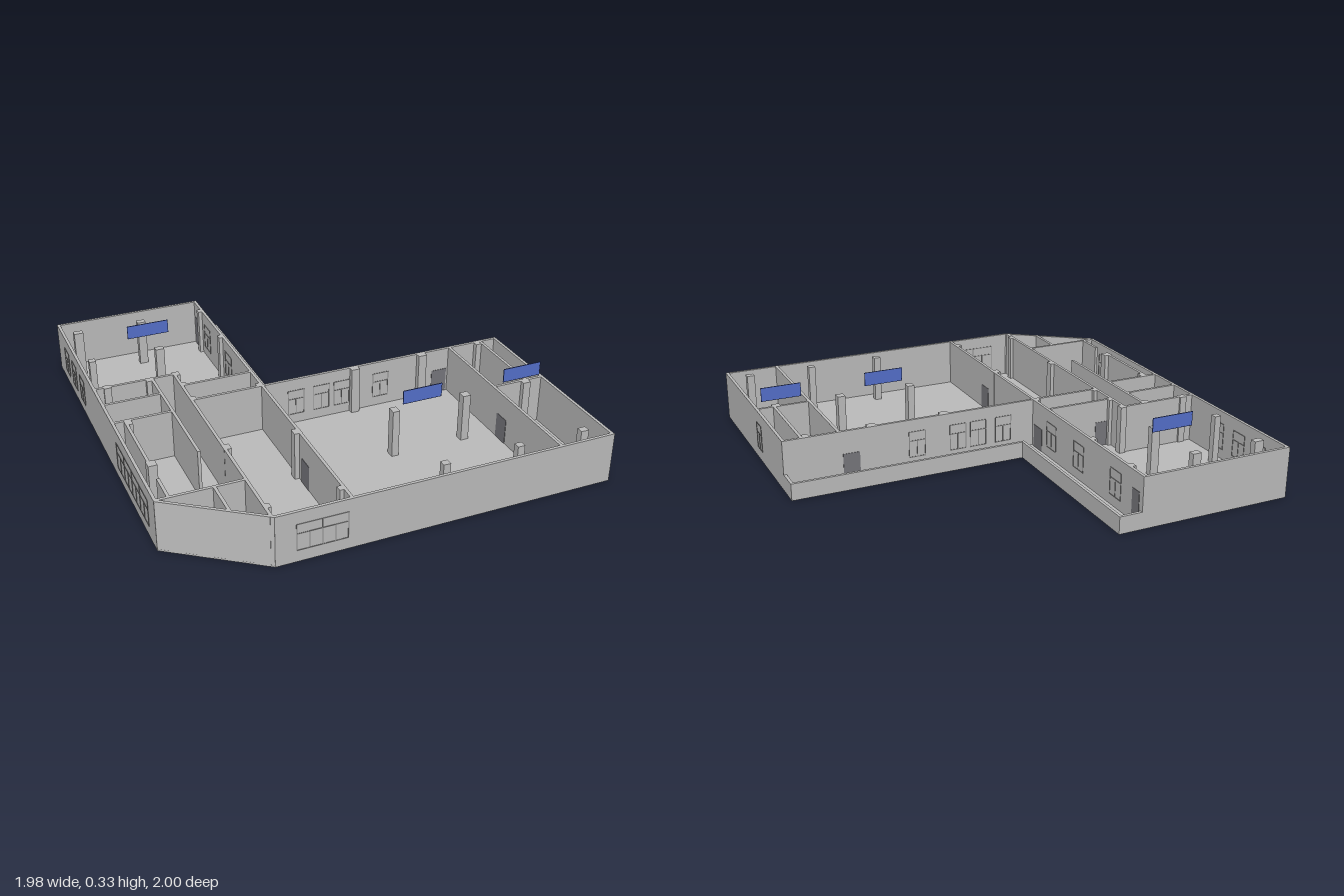
import * as THREE from 'three';

const H = 0.24, T = 0.014, FLOOR = 0.008;

export function createModel() {
  const model = new THREE.Group();
  model.name = 'openRoofBuilding';
  const mat = (name, color) => {
    const m = new THREE.MeshStandardMaterial({ color });
    m.name = name;
    return m;
  };
  const plaster = mat('plasterGrey', 0xbdbdbd);
  const frameGrey = mat('frameGrey', 0x8c8c8c);
  const doorGrey = mat('doorGrey', 0x77777c);
  const signBlue = mat('signBlue', 0x5570cc);
  const signEdge = mat('signEdgeBlue', 0x33468f);

  const box = (parent, name, w, h, d, x, y, z, m) => {
    const mesh = new THREE.Mesh(new THREE.BoxGeometry(w, h, d), m);
    mesh.name = name;
    mesh.position.set(x, y, z);
    parent.add(mesh);
    return mesh;
  };

  // Floor slab following the footprint
  const outline = [[-0.988, -1], [-0.14, -1], [-0.14, -0.115], [0.988, -0.115],
    [0.988, 1], [-0.59, 1], [-0.988, 0.712]];
  const shape = new THREE.Shape(outline.map(([x, z]) => new THREE.Vector2(x, -z)));
  const floor = new THREE.Mesh(
    new THREE.ExtrudeGeometry(shape, { depth: FLOOR, bevelEnabled: false }), plaster);
  floor.rotation.x = -Math.PI / 2;
  floor.name = 'floor';
  model.add(floor);

  // Straight wall between two plan points
  const wall = (name, x0, z0, x1, z1, h = H) => {
    const len = Math.hypot(x1 - x0, z1 - z0);
    const w = box(model, name, len, h, T, (x0 + x1) / 2, h / 2, (z0 + z1) / 2, plaster);
    w.rotation.y = -Math.atan2(z1 - z0, x1 - x0);
  };

  // Outer walls
  [[-0.981, -1, -0.981, 0.712], [-0.988, -0.993, -0.248, -0.993],
    [-0.255, -1, -0.255, 0.007], [-0.255, 0, 0.988, 0],
    [0.981, -0.007, 0.981, 1], [-0.59, 0.993, 0.988, 0.993],
    [-0.984, 0.706, -0.586, 0.994],
  ].forEach((p) => wall('outerWall', ...p));

  // Low parapet around the terrace
  [[-0.248, -0.993, -0.14, -0.993], [-0.147, -1, -0.147, -0.108],
    [-0.154, -0.108, 0.988, -0.108], [0.981, -0.115, 0.981, 0],
  ].forEach((p) => wall('parapet', ...p, 0.08));

  // Partition walls
  [[-0.597, -0.27, -0.597, 0.99], [-0.255, 0, -0.255, 0.99],
    [-0.98, -0.267, -0.59, -0.267], [-0.6, -0.148, -0.255, -0.148],
    [-0.6, 0, -0.255, 0], [-0.706, -0.26, -0.706, 0.43],
    [-0.98, -0.112, -0.7, -0.112], [-0.98, 0.06, -0.7, 0.06],
    [-0.925, 0.06, -0.925, 0.46], [-0.925, 0.56, -0.925, 0.7],
    [-0.98, 0.703, -0.597, 0.703], [-0.733, 0.7, -0.733, 0.885],
    [0.725, 0, 0.725, 0.99], [0.897, 0, 0.897, 0.43], [0.725, 0.43, 0.98, 0.43],
  ].forEach((p) => wall('partitionWall', ...p));

  // Columns: x, z, width, depth
  [[-0.91, -0.873, 0.046, 0.032], [-0.585, -0.873, 0.042, 0.032], [-0.267, -0.873, 0.026, 0.032],
    [-0.92, -0.55, 0.032, 0.032], [-0.585, -0.55, 0.042, 0.032], [-0.267, -0.55, 0.026, 0.032],
    [-0.92, -0.267, 0.034, 0.032], [-0.588, -0.265, 0.032, 0.036], [-0.725, -0.253, 0.024, 0.024],
    [-0.588, -0.16, 0.03, 0.026], [-0.265, -0.01, 0.03, 0.034], [-0.588, -0.01, 0.03, 0.034],
    [0.208, 0.017, 0.042, 0.03], [0.565, 0.017, 0.042, 0.03], [0.875, 0.017, 0.028, 0.03],
    [-0.912, 0.08, 0.026, 0.044], [-0.917, 0.44, 0.04, 0.042], [-0.588, 0.44, 0.034, 0.042],
    [-0.265, 0.44, 0.038, 0.042], [0.208, 0.44, 0.034, 0.042], [0.567, 0.44, 0.038, 0.04],
    [0.885, 0.44, 0.038, 0.04], [-0.588, 0.913, 0.028, 0.032], [-0.267, 0.913, 0.028, 0.032],
    [0.208, 0.913, 0.034, 0.032], [0.565, 0.913, 0.034, 0.032], [0.885, 0.913, 0.038, 0.032],
  ].forEach(([x, z, w, d]) => box(model, 'column', w, H, d, x, H / 2, z, plaster));

  // Window frame bars standing slightly proud of both wall faces
  const addWindow = (x, z, alongZ, w, lower, upper, y0 = 0.055, y1 = 0.18) => {
    const g = new THREE.Group();
    g.name = 'window';
    g.position.set(x, 0, z);
    if (alongZ) g.rotation.y = Math.PI / 2;
    const b = 0.004, d = T + 0.004, transom = 0.135;
    for (const y of [y0, transom, y1]) box(g, 'frameRail', w, b, d, 0, y, 0, frameGrey);
    for (const s of [-1, 1]) {
      box(g, 'frameSide', b, y1 - y0, d, s * w / 2, (y0 + y1) / 2, 0, frameGrey);
    }
    const bars = (n, a, c) => {
      for (let i = 1; i < n; i++) {
        box(g, 'mullion', b, c - a, d, -w / 2 + (w * i) / n, (a + c) / 2, 0, frameGrey);
      }
    };
    bars(lower, y0, transom);
    bars(upper, transom, y1);
    model.add(g);
  };
  addWindow(-0.385, 0.993, false, 0.225, 4, 2);
  addWindow(0.981, 0.383, true, 0.075, 2, 1);
  for (const z of [-0.81, -0.66, -0.5]) addWindow(-0.981, z, true, 0.085, 2, 1);
  addWindow(-0.981, 0.37, true, 0.48, 8, 4);
  for (const z of [-0.78, -0.457, -0.198]) addWindow(-0.255, z, true, 0.09, 2, 1);
  for (const x of [0.35, 0.145, 0.04, -0.09]) addWindow(x, 0, false, 0.08, 2, 1);

  // Doors as thin leaves on both wall faces
  const addDoor = (x, z, alongZ, w, h) => {
    const d = T + 0.004;
    box(model, 'door', alongZ ? d : w, h - FLOOR, alongZ ? w : d,
      x, (h + FLOOR) / 2, z, doorGrey);
  };
  addDoor(-0.255, -0.945, true, 0.055, 0.16);
  addDoor(-0.255, -0.065, true, 0.08, 0.12);
  addDoor(-0.255, 0.53, true, 0.08, 0.13);
  addDoor(0.725, 0.525, true, 0.08, 0.13);
  addDoor(0.67, 0, false, 0.08, 0.13);
  addDoor(-0.55, -0.148, false, 0.08, 0.13);

  // Floating blank sign boards with a darker rim
  [[-0.608, -0.655, 0.205], [0.34, 0.45, 0.192], [0.855, 0.45, 0.192]].forEach(([x, z, w]) => {
    const g = new THREE.Group();
    g.name = 'signBoard';
    g.position.set(x, 0.298, z);
    box(g, 'signPanel', w, 0.065, 0.003, 0, 0, 0, signBlue);
    for (const s of [-1, 1]) {
      box(g, 'signRim', w, 0.002, 0.004, 0, s * 0.0325, 0, signEdge);
      box(g, 'signRim', 0.002, 0.067, 0.004, s * w / 2, 0, 0, signEdge);
    }
    model.add(g);
  });

  return model;
}
